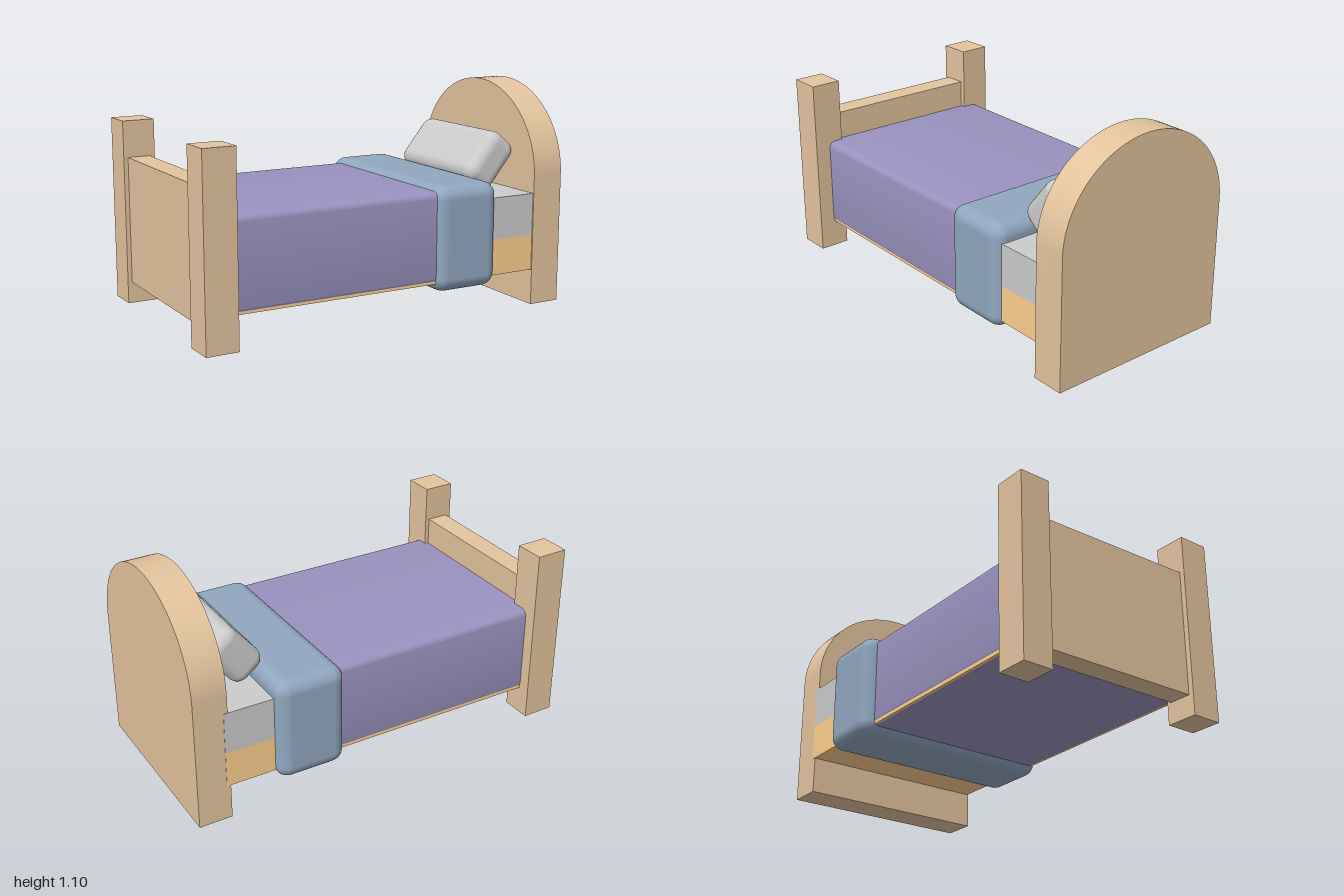
import * as THREE from 'three';
import { toCreasedNormals } from 'three/addons/utils/BufferGeometryUtils.js';
import { RoundedBoxGeometry } from 'three/addons/geometries/RoundedBoxGeometry.js';

const mat = (color) => new THREE.MeshStandardMaterial({ color });
const wood = mat(0xe3c49d), slat = mat(0xffd08e), purple = mat(0x9a92bf), blue = mat(0x90a7c0), grey = mat(0xcccccc);

const YAW = -0.019; // the whole bed stands slightly turned

export function createModel() {
  const bed = new THREE.Group();
  bed.name = 'bed';

  function add(name, geometry, material, x, y, z, yaw = YAW) {
    const mesh = new THREE.Mesh(geometry, material);
    mesh.name = name;
    mesh.position.set(x, y, z);
    mesh.rotation.y = yaw;
    bed.add(mesh);
    return mesh;
  }

  // Extrudes a z/y profile along x, centred on x
  function extrudeAlongX(shape, length) {
    const g = new THREE.ExtrudeGeometry(shape, { depth: length, bevelEnabled: false, curveSegments: 32 });
    g.translate(0, 0, -length / 2);
    g.rotateY(Math.PI / 2);
    return toCreasedNormals(g, 0.6);
  }

  // Arched headboard
  const arch = new THREE.Shape();
  arch.moveTo(-0.487, 0);
  arch.lineTo(0.487, 0);
  arch.lineTo(0.487, 0.655);
  arch.absellipse(0, 0.655, 0.487, 0.447, 0, Math.PI, false);
  arch.closePath();
  add('headboard', extrudeAlongX(arch, 0.167), wood, 0.904, 0, 0.024, -0.016);

  // Footboard posts and panel
  for (const [name, x, z] of [['footPostFront', -0.92, 0.478], ['footPostBack', -0.9, -0.484]]) {
    add(name, new THREE.BoxGeometry(0.16, 0.91, 0.155), wood, x, 0.495, z, 0);
  }
  add('footPanel', new THREE.BoxGeometry(0.112, 0.625, 0.83), wood, -0.91, 0.4575, -0.003);

  // Base and mattress
  add('base', new THREE.BoxGeometry(1.68, 0.18, 0.97), slat, 0.0, 0.27, 0.003);
  add('mattress', new THREE.BoxGeometry(1.68, 0.21, 0.97), grey, 0.0, 0.465, 0.003);

  // Blanket wrapped around the bed, rounded along its length
  const w = 0.488, h = 0.2275, r = 0.035;
  const wrap = new THREE.Shape();
  wrap.moveTo(-w + r, -h);
  wrap.absarc(w - r, -h + r, r, -Math.PI / 2, 0);
  wrap.absarc(w - r, h - r, r, 0, Math.PI / 2);
  wrap.absarc(-w + r, h - r, r, Math.PI / 2, Math.PI);
  wrap.absarc(-w + r, -h + r, r, Math.PI, Math.PI * 1.5);
  add('blanket', extrudeAlongX(wrap, 1.2), purple, -0.25, 0.4025, -0.001);

  // Turned-back fold of the blanket
  add('blanketFold', new RoundedBoxGeometry(0.352, 0.52, 1.06, 6, 0.065), blue, 0.414, 0.395, 0);

  // Pillow leaning on the headboard
  const pillow = add('pillow', new RoundedBoxGeometry(0.29, 0.186, 0.65, 6, 0.06), grey, 0.683, 0.717, 0.026);
  pillow.rotation.z = 0.88;
  pillow.rotation.order = 'YXZ';

  return bed;
}
